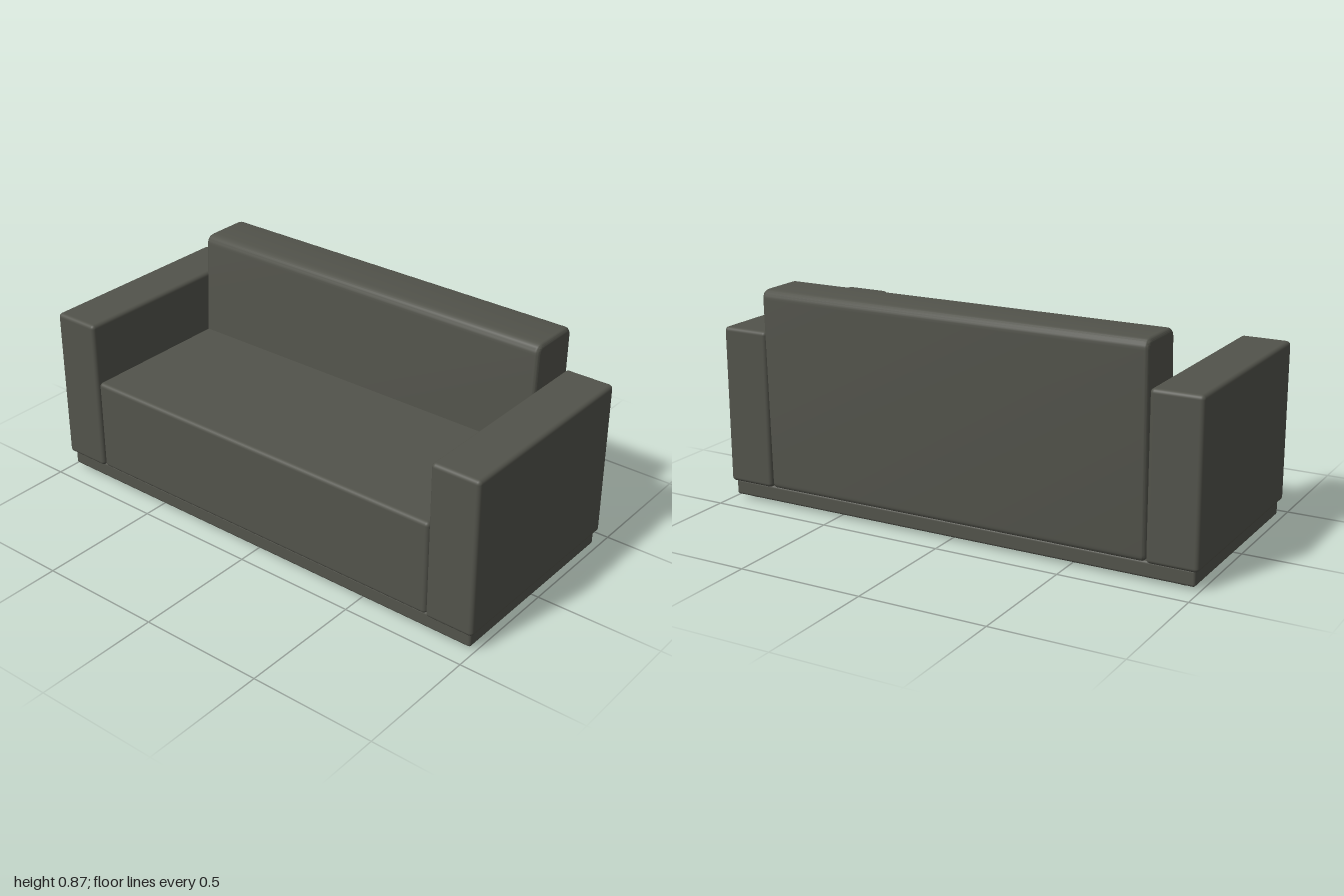
import * as THREE from 'three';
import { toCreasedNormals } from 'three/addons/utils/BufferGeometryUtils.js';
import { RoundedBoxGeometry } from 'three/addons/geometries/RoundedBoxGeometry.js';

export function createModel() {
  const sofa = new THREE.Group();
  sofa.name = 'sofa';
  const fabric = new THREE.MeshStandardMaterial({ color: 0x52534b });
  fabric.name = 'charcoal fabric';

  const add = (name, geometry, x = 0, y = 0, z = 0) => {
    const mesh = new THREE.Mesh(geometry, fabric);
    mesh.name = name;
    mesh.position.set(x, y, z);
    sofa.add(mesh);
  };

  // Softly rounded block given by its limits on each axis
  const block = (name, [x0, x1], [y0, y1], [z0, z1], radius) =>
    add(name, new RoundedBoxGeometry(x1 - x0, y1 - y0, z1 - z0, 4, radius),
      (x0 + x1) / 2, (y0 + y1) / 2, (z0 + z1) / 2);

  // Base and seat
  block('plinth', [-0.985, 0.985], [0.015, 0.078], [-0.41, 0.42], 0.01);
  block('seat', [-0.8, 0.8], [0.075, 0.457], [-0.3, 0.432], 0.016);

  // Arms and feet, mirrored
  for (const side of [1, -1]) {
    const label = side > 0 ? 'left' : 'right';
    const xs = side > 0 ? [0.802, 1] : [-1, -0.802];
    block(label + 'Arm', xs, [0.073, 0.704], [-0.424, 0.437], 0.016);
    for (const [end, z] of [['Front', 0.362], ['Back', -0.35]]) {
      add(label + end + 'Foot', new THREE.CylinderGeometry(0.022, 0.022, 0.02, 24),
        side * 0.925, 0.01, z);
    }
  }

  // Backrest: leaning side profile with a round top, extruded across the width
  const bevel = 0.018;
  const profile = new THREE.Shape();
  profile.moveTo(-0.405, 0.075);
  profile.lineTo(-0.18, 0.075);
  profile.lineTo(-0.213, 0.835);
  profile.quadraticCurveTo(-0.215, 0.874, -0.255, 0.874);
  profile.lineTo(-0.4, 0.874);
  profile.quadraticCurveTo(-0.438, 0.874, -0.438, 0.835);
  profile.lineTo(-0.422, 0.1);
  profile.quadraticCurveTo(-0.422, 0.075, -0.405, 0.075);
  const back = new THREE.ExtrudeGeometry(profile, {
    depth: 1.6 - 2 * bevel, curveSegments: 8, bevelEnabled: true,
    bevelSize: bevel, bevelThickness: bevel, bevelOffset: -bevel, bevelSegments: 6,
  });
  back.translate(0, 0, -0.8 + bevel);
  back.rotateY(-Math.PI / 2);
  add('backrest', toCreasedNormals(back, 0.5));

  return sofa;
}
